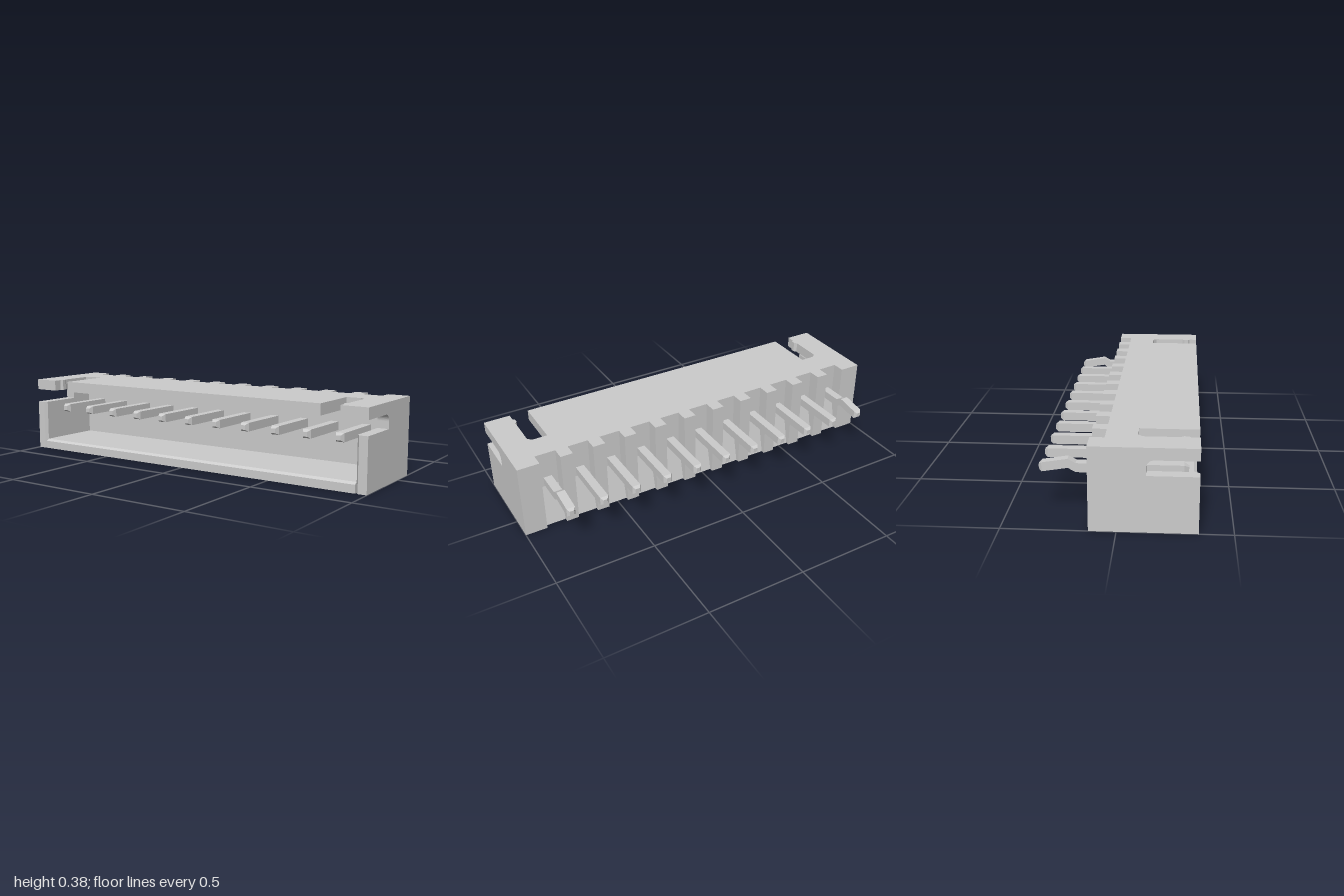
import * as THREE from 'three';

const material = new THREE.MeshStandardMaterial({ color: 0xcccccc, flatShading: true });

const PINS = 11, PITCH = 0.1675;
const TOP = 0.385, ROOF = 0.33, BASE = 0.05;           // heights
const FRONT = 0.35, FLOOR = 0, WEB = -0.055, BACK = -0.12; // depths
const WALL = 0.945, NOTCH = 0.052;

const pinX = i => (i - (PINS - 1) / 2) * PITCH;

function add(group, name, geometry) {
  const mesh = new THREE.Mesh(geometry, material);
  mesh.name = name;
  group.add(mesh);
  return mesh;
}

function toShape(points) {
  return new THREE.Shape(points.map(([a, b]) => new THREE.Vector2(a, b)));
}

// Outline of [x, z] points raised from y0 to y1
function slab(points, y0, y1) {
  const shape = toShape(points.map(([x, z]) => [x, -z]));
  return new THREE.ExtrudeGeometry(shape, { depth: y1 - y0, bevelEnabled: false })
    .rotateX(-Math.PI / 2).translate(0, y0, 0);
}

// Outline in (z, y) swept from x0 to x1
function sweepX(shape, x0, x1) {
  return new THREE.ExtrudeGeometry(shape, { depth: x1 - x0, bevelEnabled: false, curveSegments: 8 })
    .rotateY(-Math.PI / 2).translate(x1, 0, 0);
}

function box(x0, x1, y0, y1, z0, z1) {
  return new THREE.BoxGeometry(x1 - x0, y1 - y0, z1 - z0)
    .translate((x0 + x1) / 2, (y0 + y1) / 2, (z0 + z1) / 2);
}

// Square bar through sections [z, centre y, half width]
function bar(sections) {
  const n = sections.length - 1;
  const geometry = new THREE.BoxGeometry(2, 2, 2, 1, 1, n);
  const p = geometry.attributes.position;
  for (let i = 0; i < p.count; i++) {
    const [z, y, h] = sections[Math.round((p.getZ(i) + 1) / 2 * n)];
    p.setXYZ(i, p.getX(i) * h, y + p.getY(i) * h, z);
  }
  geometry.computeVertexNormals();
  return geometry;
}

function createHousing() {
  const housing = new THREE.Group();
  housing.name = 'housing';

  add(housing, 'backWall', box(-1, 1, 0, TOP, WEB, FLOOR));

  // Bottom wall with a chamfered front lip
  add(housing, 'bottomWall', sweepX(toShape([
    [FLOOR, 0], [FRONT, 0], [FRONT, 0.04], [0.335, BASE], [FLOOR, BASE],
  ]), -WALL, WALL));

  // Top wall with a latch slot near each end
  const slot = [
    [0.866, FRONT], [0.866, 0.31], [0.855, 0.3], [0.855, 0.28],
    [0.866, 0.265], [0.866, 0.105], [0.846, 0.085], [0.77, 0.085], [0.77, FRONT],
  ];
  add(housing, 'topWall', slab([
    [-1, FLOOR], [1, FLOOR], [1, FRONT], ...slot,
    ...slot.map(([x, z]) => [-x, z]).reverse(), [-1, FRONT],
  ], ROOF, TOP));

  // Side walls: low front part, and a rounded root behind the open window
  const root = new THREE.Shape();
  root.moveTo(FLOOR, 0.26);
  root.lineTo(0.125, 0.26);
  root.lineTo(0.125, 0.295);
  root.absarc(0.16, 0.295, 0.035, Math.PI, Math.PI / 2, true);
  root.lineTo(FLOOR, ROOF);
  for (const s of [-1, 1]) {
    add(housing, 'sideWall', slab([
      [s * WALL, FLOOR], [s, FLOOR], [s, FRONT], [s * 0.957, FRONT], [s * WALL, 0.335],
    ], 0, 0.26));
    add(housing, 'sideWallRoot', sweepX(root, s > 0 ? WALL : -1, s > 0 ? 1 : -WALL));
  }

  // Ribs between the pins on the back
  for (let i = 0; i <= PINS; i++) {
    const x0 = i === 0 ? -1 : pinX(i - 1) + NOTCH;
    const x1 = i === PINS ? 1 : pinX(i) - NOTCH;
    add(housing, 'rib', box(x0, x1, 0, TOP, BACK, WEB));
  }

  // Sloped fillings under the pins
  const ramp = toShape([[WEB, 0], [WEB, 0.2], [-0.1, 0]]);
  for (let i = 0; i < PINS; i++) {
    add(housing, 'notchRamp', sweepX(ramp, pinX(i) - NOTCH, pinX(i) + NOTCH));
  }
  return housing;
}

function createPins() {
  const pins = new THREE.Group();
  pins.name = 'pins';
  const y = 0.23, h = 0.021;
  const tail = [[-0.348, y, 0.011], [-0.335, y, h]];
  const kink = [[-0.22, 0.249, h], [-0.185, y, h]];
  const tip = [[0.285, y, h], [0.305, y, 0.011]];
  const straight = bar([...tail, ...tip]);
  const kinked = bar([...tail, ...kink, ...tip]);
  for (let i = 0; i < PINS; i++) {
    const end = i === 0 || i === PINS - 1;
    add(pins, end ? 'kinkedPin' : 'pin', end ? kinked : straight).position.x = pinX(i);
  }
  return pins;
}

export function createModel() {
  const model = new THREE.Group();
  model.name = 'pinHeader';
  model.add(createHousing(), createPins());
  return model;
}
